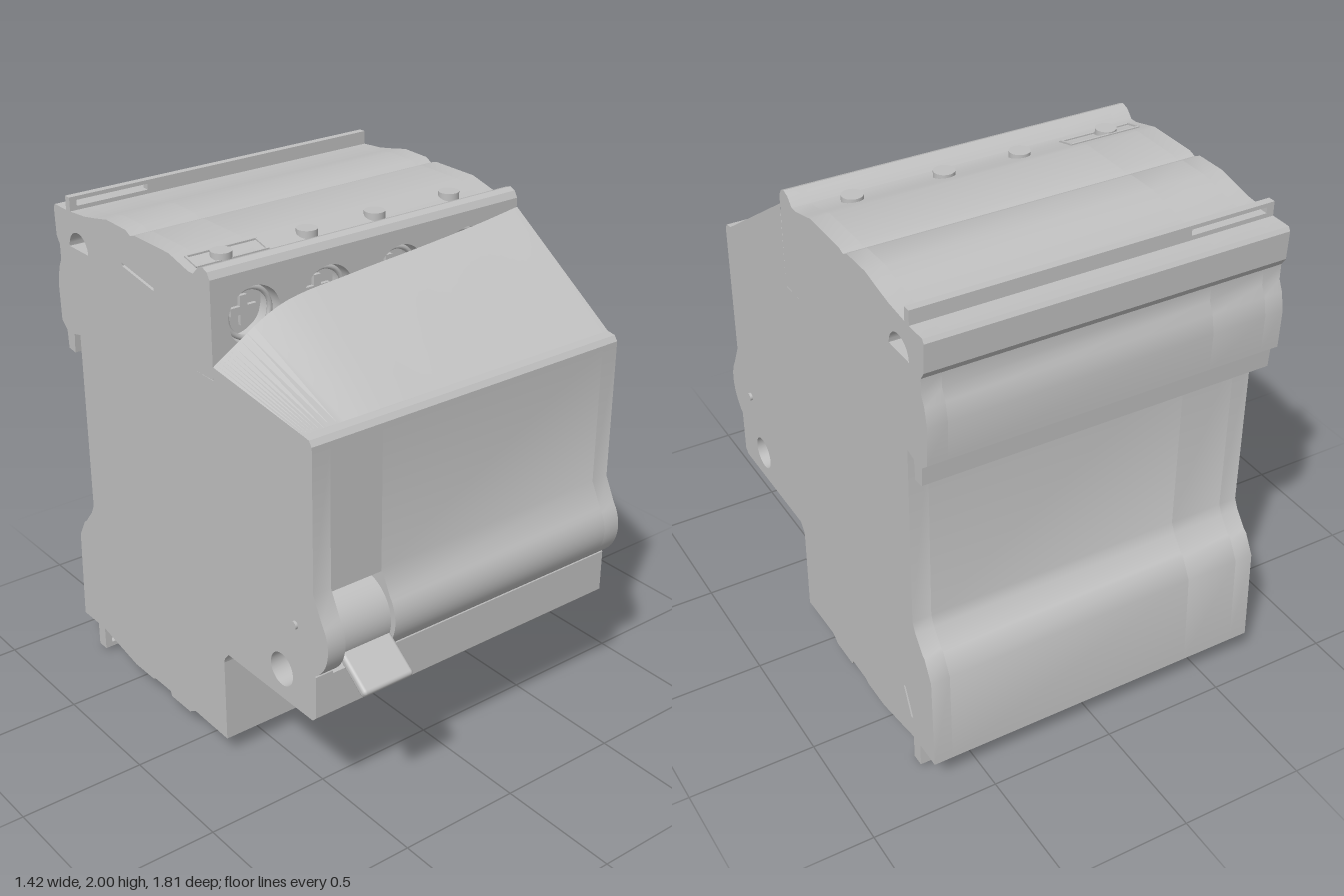
import * as THREE from 'three';
import { toCreasedNormals } from 'three/addons/utils/BufferGeometryUtils.js';
import { RoundedBoxGeometry } from 'three/addons/geometries/RoundedBoxGeometry.js';

const HALF = 0.7, SLOT_L = -0.625, SLOT_R = -0.405;
const vec = (pts) => pts.map(([a, b]) => new THREE.Vector2(a, b));

// Side outline as (z, y), from the lower front wall round to the underside
function bodyOutline(withBulge) {
  const bulge = [];
  for (let i = 0; i <= 12; i++) {
    const a = -1.0 + (i / 12) * 1.65;
    bulge.push([0.64 + 0.16 * Math.cos(a), 0.81 + 0.16 * Math.sin(a)]);
  }
  const nose = withBulge ? [[0.73, 0.67], ...bulge, [0.72, 1.0]]
    : [[0.73, 0.66], [0.66, 0.66], [0.66, 0.98], [0.72, 0.985]];
  return vec([
    [0.16, 0.08], [0.16, 0.12], [0.1, 0.12], [0.1, 0.43], [0.16, 0.43], [0.165, 0.45], [0.19, 0.48],
    [0.71, 0.48], [0.73, 0.5], ...nose, [0.72, 1.555], [0.705, 1.575], [0.67, 1.58],
    [0.04, 1.59], [0.04, 1.92], [0.16, 1.92], [0.16, 1.955], [0.145, 1.98], [0.12, 1.99], [0.09, 1.98],
    [0.06, 1.95], [0.03, 1.95], [-0.05, 1.97], [-0.09, 1.98], [-0.31, 1.98], [-0.34, 1.97], [-0.37, 1.985],
    [-0.5, 1.987], [-0.58, 1.97], [-0.66, 1.955], [-0.78, 1.945], [-0.88, 1.945], [-0.89, 1.93],
    [-0.885, 1.82], [-0.865, 1.79], [-0.865, 1.73], [-0.885, 1.69], [-0.9, 1.62], [-0.895, 1.47],
    [-0.86, 1.44], [-0.855, 1.365], [-0.81, 1.36], [-0.805, 1.44], [-0.76, 1.45],
    [-0.76, 0.7], [-0.78, 0.66], [-0.83, 0.6], [-0.845, 0.59], [-0.89, 0.51], [-0.905, 0.12],
    [-0.745, 0.12], [-0.65, 0.1], [-0.5, 0.07], [-0.37, 0.07], [-0.35, 0.08], [-0.24, 0.08],
    [-0.23, 0.06], [-0.1, 0.06], [-0.06, 0.085],
  ]);
}

function arcPath(x, y, r, a0, a1) {
  const p = new THREE.Path();
  p.absarc(x, y, r, a0, a1, false);
  p.closePath();
  return p;
}
const polyPath = (pts) => new THREE.Path(vec(pts));
const rectPath = (x0, x1, y0, y1) => polyPath([[x0, y0], [x1, y0], [x1, y1], [x0, y1]]);

// Extrude a (z, y) outline along x
function slice(points, x0, x1, holes = []) {
  const shape = new THREE.Shape(points);
  shape.holes.push(...holes);
  const g = new THREE.ExtrudeGeometry(shape, { depth: x1 - x0, bevelEnabled: false, curveSegments: 16 });
  g.rotateY(-Math.PI / 2).translate(x1, 0, 0);
  return toCreasedNormals(g, 0.5);
}

// Extrude a full-width (x, y) panel along z
function panel(y0, y1, z0, z1, holes) {
  const shape = new THREE.Shape(vec([[-HALF, y0], [HALF, y0], [HALF, y1], [-HALF, y1]]));
  shape.holes.push(...holes);
  const g = new THREE.ExtrudeGeometry(shape, { depth: z1 - z0, bevelEnabled: false, curveSegments: 20 });
  g.translate(0, 0, z0);
  return toCreasedNormals(g, 0.5);
}

// Twisted slope: straight front edge, back edge rising towards +x
function slopeGeometry() {
  const rise = new THREE.CatmullRomCurve3(
    [[-0.7, 1.64], [-0.62, 1.69], [-0.41, 1.8], [-0.1, 1.84], [0.2, 1.865], [0.51, 1.895], [0.7, 1.92]]
      .map(([x, y]) => new THREE.Vector3(x, y, 0.162)));
  const pos = [], idx = [], N = 40;
  for (let i = 0; i <= N; i++) {
    const t = rise.getPoint(i / N);
    pos.push(t.x, 1.58, 0.67, t.x, t.y, t.z);
    if (i < N) idx.push(2 * i, 2 * i + 2, 2 * i + 3, 2 * i, 2 * i + 3, 2 * i + 1);
  }
  const b = pos.length / 3;
  pos.push(-HALF, 1.588, 0.16, HALF, 1.588, 0.16);
  idx.push(0, 1, b, 2 * N, b + 1, 2 * N + 1);
  const g = new THREE.BufferGeometry();
  g.setAttribute('position', new THREE.Float32BufferAttribute(pos, 3));
  g.setIndex(idx);
  return toCreasedNormals(g, 0.5);
}

export function createModel() {
  const model = new THREE.Group();
  model.name = 'modularSwitchUnit';
  const grey = new THREE.MeshStandardMaterial({ color: 0xc0c0c0 });
  grey.name = 'housingGrey';
  const add = (name, geo, x = 0, y = 0, z = 0) => {
    const m = new THREE.Mesh(geo, grey);
    m.name = name;
    m.position.set(x, y, z);
    model.add(m);
    return m;
  };

  // Housing slices; the outer ones carry blind side recesses
  const full = bodyOutline(true);
  const sideHoles = () => [
    arcPath(-0.72, 1.805, 0.068, 0, Math.PI),
    arcPath(0.53, 0.6, 0.066, 0, Math.PI * 2),
  ];
  const lowSlot = polyPath([[-0.675, 0.325], [-0.69, 0.33], [-0.745, 0.215], [-0.73, 0.208]]);
  const highSlot = polyPath([[-0.41, 1.85], [-0.41, 1.838], [-0.2, 1.805], [-0.2, 1.817]]);
  add('rightSide', slice(full, -HALF, SLOT_L, [...sideHoles(), highSlot]));
  add('switchBay', slice(bodyOutline(false), SLOT_L, SLOT_R));
  add('housing', slice(full, SLOT_R, 0.625));
  add('leftSide', slice(full, 0.625, HALF, [...sideHoles(), lowSlot]));
  add('terminalSlope', slopeGeometry());

  // Upper terminal wall with round openings and screw heads
  const upperX = [-0.52, -0.2, 0.13, 0.45];
  add('upperTerminalWall', panel(1.59, 1.92, 0.04, 0.16,
    upperX.map((x) => arcPath(x, 1.785, 0.11, 0, Math.PI * 2))));
  for (const x of upperX) {
    add('terminalCollar', new THREE.TorusGeometry(0.092, 0.01, 8, 32), x, 1.785, 0.12);
    const head = add('terminalScrew', new THREE.CylinderGeometry(0.078, 0.078, 0.04, 32), x, 1.785, 0.06);
    head.rotation.x = Math.PI / 2;
    add('screwCross', new THREE.BoxGeometry(0.11, 0.03, 0.02), x, 1.785, 0.085);
    add('screwCross', new THREE.BoxGeometry(0.03, 0.11, 0.02), x, 1.785, 0.085);
  }

  // Lower terminal wall with crescent openings
  const crescents = [[-0.495, 0.08, 0.04], [-0.195, 0.085, 0.04], [0.14, 0.055, 0.018]];
  add('lowerTerminalWall', panel(0.12, 0.43, 0.1, 0.16, crescents.map(([x, w, h]) => {
    const r = (w * w + h * h) / (2 * h), a = Math.asin(w / r);
    return arcPath(x, 0.373 + h - r, r, Math.PI / 2 - a, Math.PI / 2 + a);
  })));

  // Slotted label rails at the back
  add('topRail', panel(1.94, 2.0, -0.795, -0.765, [rectPath(-0.67, -0.36, 1.962, 1.985)]));
  add('bottomRail', panel(0.02, 0.13, -0.795, -0.745, [rectPath(-0.67, -0.36, 0.04, 0.06)]));

  // Clamping pins above and below
  const pin = (h) => new THREE.CylinderGeometry(0.04, 0.04, h, 28);
  for (const x of [-0.54, -0.17, 0.14, 0.5]) add('topPin', pin(0.06), x, 1.95, -0.005);
  for (const x of [-0.515, -0.15, 0.165, 0.52]) add('bottomPin', pin(0.12), x, 0.06, 0);

  // Narrow frame around the first top pin
  for (const z of [-0.045, 0.025]) add('pinFrame', new THREE.BoxGeometry(0.3, 0.009, 0.008), -0.51, z < 0 ? 1.97 : 1.953, z);
  for (const x of [-0.66, -0.365]) {
    const bar = add('pinFrame', new THREE.BoxGeometry(0.008, 0.009, 0.075), x, 1.962, -0.01);
    bar.rotation.x = 0.24;
  }

  // Toggle drum, lever and pivot ends
  const drum = add('toggleDrum', new THREE.CylinderGeometry(0.145, 0.145, 0.205, 48), -0.515, 0.81, 0.64);
  drum.rotation.z = Math.PI / 2;
  const lever = add('toggleLever', new RoundedBoxGeometry(0.22, 0.036, 0.2, 3, 0.014), -0.515, 0.712, 0.82);
  lever.rotation.x = 0.64;
  for (const s of [-1, 1]) {
    const nub = add('pivotNub', new THREE.CylinderGeometry(0.016, 0.016, 0.03, 16), s * 0.695, 0.83, 0.615);
    nub.rotation.z = Math.PI / 2;
  }
  return model;
}
